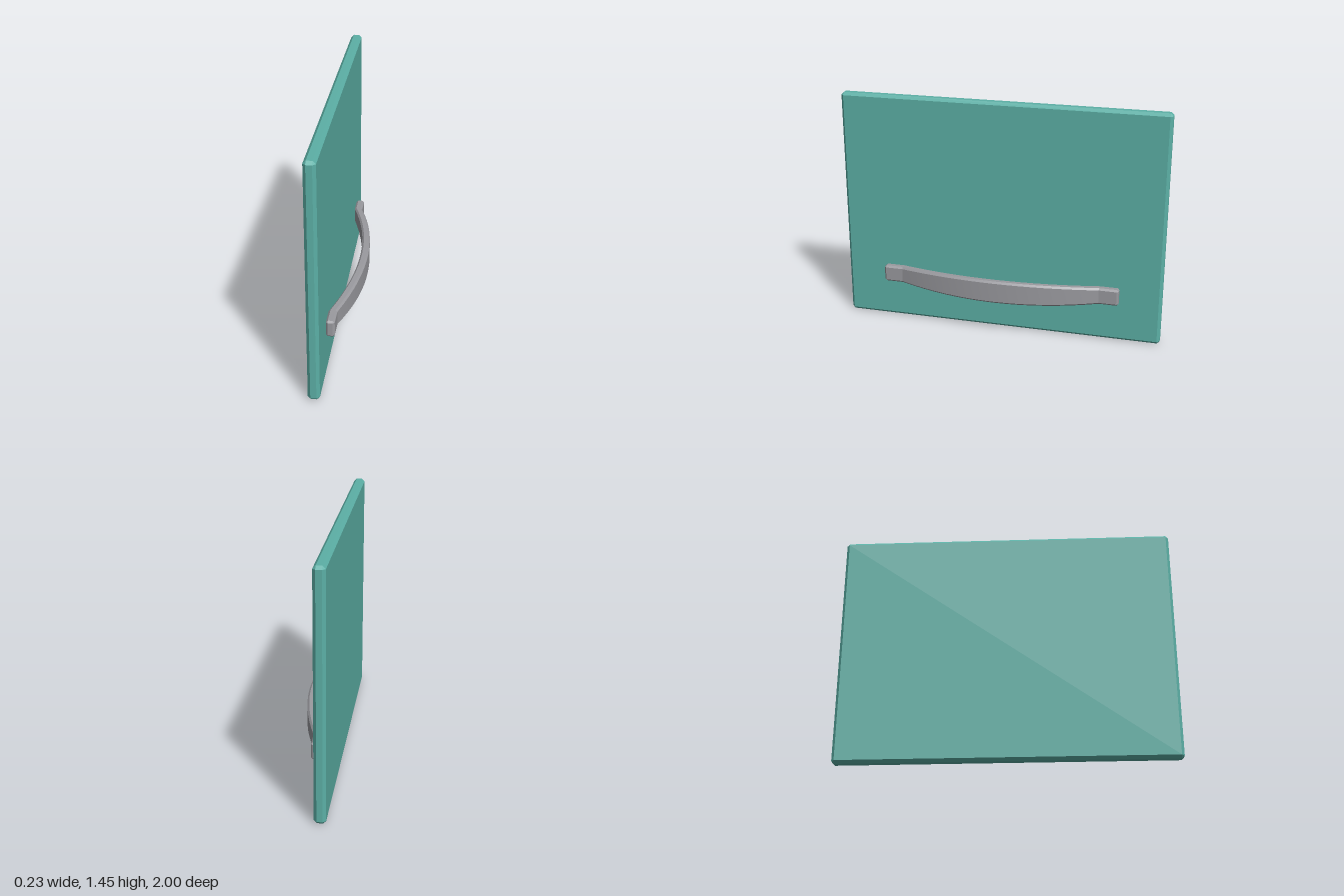
import * as THREE from 'three';
import { toCreasedNormals } from 'three/addons/utils/BufferGeometryUtils.js';

// Lofts chamfered rectangles along z; each section is { z, x, y, hx, hy, c }.
// collapse = true squeezes the corners inward so the ends are chamfered too.
function loft(sections) {
  const pos = [], index = [], n = 8;
  for (const { z, x, y, hx, hy, c, collapse } of sections) {
    const ax = hx - c, ay = hy - c;
    const ox = collapse ? ax : hx, oy = collapse ? ay : hy;
    const loop = [[ox, -ay], [ox, ay], [ax, oy], [-ax, oy], [-ox, ay], [-ox, -ay], [-ax, -oy], [ax, -oy]];
    for (const [px, py] of loop) pos.push(x + px, y + py, z);
  }
  for (let s = 0; s < sections.length - 1; s++) {
    for (let i = 0; i < n; i++) {
      const a = s * n + i, b = s * n + (i + 1) % n;
      index.push(a, b, b + n, a, b + n, a + n);
    }
  }
  // End caps
  const last = (sections.length - 1) * n;
  for (let i = 1; i < n - 1; i++) {
    index.push(0, i + 1, i);
    index.push(last, last + i, last + i + 1);
  }
  const g = new THREE.BufferGeometry();
  g.setAttribute('position', new THREE.Float32BufferAttribute(pos, 3));
  g.setIndex(index);
  return toCreasedNormals(g, 0.25);
}

// Adds chamfered ends to a run of sections
function withEnds(sections) {
  const first = sections[0], last = sections[sections.length - 1];
  return [
    { ...first, z: first.z - first.c, collapse: true },
    ...sections,
    { ...last, z: last.z + last.c, collapse: true },
  ];
}

export function createModel() {
  const teal = new THREE.MeshStandardMaterial({ color: 0x5cb0a6 });
  teal.name = 'teal paint';
  const grey = new THREE.MeshStandardMaterial({ color: 0x9a9a9f });
  grey.name = 'grey metal';

  const model = new THREE.Group();
  model.name = 'drawerFront';

  // Flat panel with chamfered edges
  const slab = { x: -0.081, y: 0.724, hx: 0.034, hy: 0.724, c: 0.017 };
  const panel = new THREE.Mesh(loft(withEnds([{ ...slab, z: -0.983 }, { ...slab, z: 0.983 }])), teal);
  panel.name = 'panel';
  model.add(panel);

  // Bowed pull handle: straight feet, arched and slightly taller in the middle
  const foot = { x: -0.022, y: 0.303, hx: 0.025, hy: 0.052, c: 0.011 };
  const sections = [{ ...foot, z: -0.734 }];
  const span = 0.625, steps = 16;
  for (let i = 0; i <= steps; i++) {
    const t = -1 + (2 * i) / steps, bow = 1 - t * t;
    sections.push({ ...foot, z: t * span, x: foot.x + 0.109 * bow, hx: 0.025 - 0.001 * bow, hy: foot.hy + 0.019 * bow });
  }
  sections.push({ ...foot, z: 0.734 });
  const handle = new THREE.Mesh(loft(withEnds(sections)), grey);
  handle.name = 'handle';
  model.add(handle);

  return model;
}
